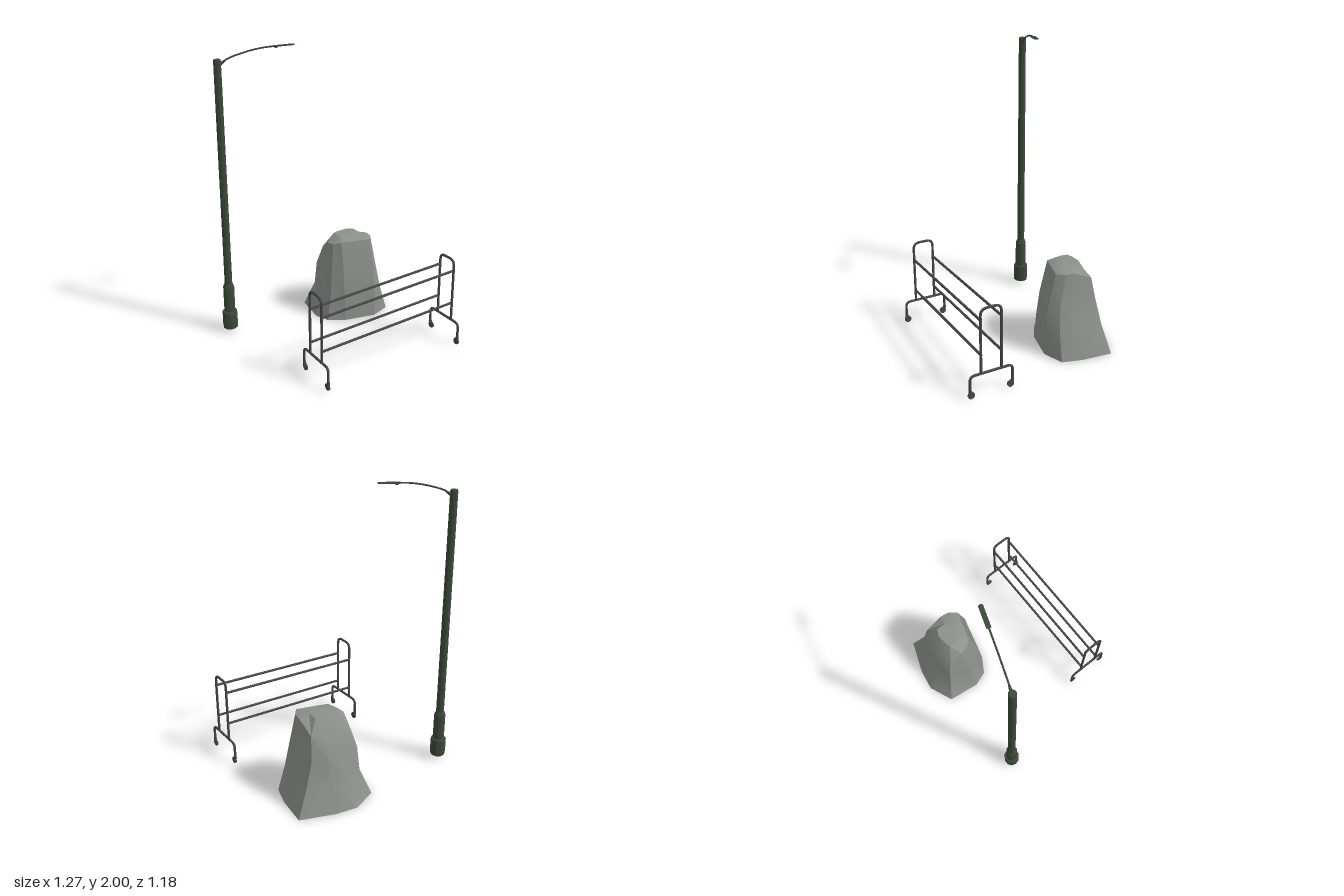
import * as THREE from 'three';
import { toCreasedNormals } from 'three/addons/utils/BufferGeometryUtils.js';

const green = new THREE.MeshStandardMaterial({ color: 0x3c4a3a, flatShading: true });
const steel = new THREE.MeshStandardMaterial({ color: 0x48484a });
const stone = new THREE.MeshStandardMaterial({ color: 0x8c918b, side: THREE.DoubleSide });
const v = (x, y, z) => new THREE.Vector3(x, y, z);

function add(parent, name, geometry, material, x = 0, y = 0, z = 0) {
  const mesh = new THREE.Mesh(geometry, material);
  mesh.name = name;
  mesh.position.set(x, y, z);
  parent.add(mesh);
  return mesh;
}

// Straight round bar between two points
function bar(parent, name, a, b, radius) {
  const d = b.clone().sub(a);
  const mesh = add(parent, name, new THREE.CylinderGeometry(radius, radius, d.length(), 10), steel);
  mesh.position.copy(a).addScaledVector(d, 0.5);
  mesh.quaternion.setFromUnitVectors(v(0, 1, 0), d.normalize());
}

// Upside-down U path in the yz plane with rounded corners
function hoop(z0, z1, yLow, yTop, r) {
  const path = new THREE.CurvePath();
  const p = [v(0, yLow, z0), v(0, yTop - r, z0), v(0, yTop, z0 + r),
    v(0, yTop, z1 - r), v(0, yTop - r, z1), v(0, yLow, z1)];
  path.add(new THREE.LineCurve3(p[0], p[1]));
  path.add(new THREE.QuadraticBezierCurve3(p[1], v(0, yTop, z0), p[2]));
  path.add(new THREE.LineCurve3(p[2], p[3]));
  path.add(new THREE.QuadraticBezierCurve3(p[3], v(0, yTop, z1), p[4]));
  path.add(new THREE.LineCurve3(p[4], p[5]));
  return new THREE.TubeGeometry(path, 90, 0.0085, 10);
}

function makeLamp() {
  const lamp = new THREE.Group();
  lamp.name = 'streetLamp';
  lamp.position.set(-0.585, 0, -0.45);
  lamp.rotation.y = -0.325;

  // Stepped base and shaft
  const profile = [[0, 0.027], [0.05, 0.027], [0.053, 0.05], [0.053, 0.145], [0.05, 0.153], [0.039, 0.155],
    [0.039, 0.34], [0.027, 0.37], [0.025, 1.91], [0.022, 1.92], [0, 1.92]];
  add(lamp, 'post', new THREE.LatheGeometry(profile.map(p => new THREE.Vector2(...p)), 10), green);

  // Curved arm, thicker at the post
  const curve = new THREE.CatmullRomCurve3([v(0.015, 1.885, 0), v(0.06, 1.918, 0), v(0.18, 1.959, 0),
    v(0.28, 1.98, 0), v(0.37, 1.989, 0)]);
  add(lamp, 'arm', new THREE.TubeGeometry(curve, 20, 0.0055, 8), green);
  const socket = add(lamp, 'armSocket', new THREE.CylinderGeometry(0.006, 0.011, 0.05, 8), green, 0.035, 1.9, 0);
  socket.rotation.z = -0.95;

  // Flat lamp head with a rounded tip
  const s = new THREE.Shape();
  s.moveTo(0, -0.014);
  s.lineTo(0.128, -0.014);
  s.quadraticCurveTo(0.138, -0.014, 0.138, 0);
  s.quadraticCurveTo(0.138, 0.014, 0.128, 0.014);
  s.lineTo(0, 0.014);
  s.closePath();
  const headGeo = new THREE.ExtrudeGeometry(s, { depth: 0.007, bevelEnabled: false, curveSegments: 4 });
  headGeo.rotateX(-Math.PI / 2);
  const head = add(lamp, 'lampHead', headGeo, green, 0.357, 1.984, 0);
  head.rotation.z = 0.06;
  add(lamp, 'headClamp', new THREE.BoxGeometry(0.02, 0.01, 0.014), green, 0.376, 1.983, 0);
  return lamp;
}

function makeRack() {
  const rack = new THREE.Group();
  rack.name = 'rollingRack';
  const xs = [-0.407, 0.627];
  for (const x of xs) {
    const end = new THREE.Group();
    end.name = 'rackEnd';
    end.position.x = x;
    rack.add(end);
    add(end, 'uprightHoop', hoop(0.36, 0.5, 0.17, 0.61, 0.045), steel);
    add(end, 'footHoop', hoop(0.283, 0.575, 0.06, 0.168, 0.035), steel);
    // Casters
    for (const [zLeg, zWheel] of [[0.283, 0.297], [0.575, 0.567]]) {
      add(end, 'casterStem', new THREE.CylinderGeometry(0.010, 0.010, 0.02, 10), steel, 0, 0.06, zLeg);
      for (const side of [-1, 1]) {
        const fork = add(end, 'casterFork', new THREE.BoxGeometry(0.003, 0.035, 0.014), steel,
          side * 0.007, 0.042, (zLeg + zWheel) / 2);
        fork.rotation.x = (zWheel > zLeg ? -1 : 1) * 0.35;
      }
      const wheel = add(end, 'casterWheel', new THREE.CylinderGeometry(0.023, 0.023, 0.011, 18), steel,
        0, 0.033, zWheel);
      wheel.rotation.z = Math.PI / 2;
    }
  }
  // Sloping rails
  for (const z of [0.36, 0.497]) {
    for (const [y0, y1] of [[0.244, 0.294], [0.48, 0.533]]) {
      bar(rack, 'rail', v(xs[0], y0, z), v(xs[1], y1, z), 0.0085);
    }
  }
  return rack;
}

function makeRock() {
  // Outlines as x, z pairs, clockwise from the back left corner
  const base = [0.06, -0.52, 0.23, -0.59, 0.38, -0.565, 0.605, -0.48, 0.58, -0.27,
    0.54, -0.135, 0.4, -0.083, 0.18, -0.13, 0.07, -0.195, 0.032, -0.295];
  const low = [0.12, -0.465, 0.23, -0.51, 0.37, -0.505, 0.525, -0.45, 0.525, -0.27,
    0.49, -0.145, 0.4, -0.088, 0.18, -0.145, 0.105, -0.215, 0.083, -0.3];
  const mid = [0.13, -0.45, 0.23, -0.475, 0.37, -0.482, 0.47, -0.43, 0.475, -0.27,
    0.46, -0.16, 0.4, -0.103, 0.185, -0.165, 0.12, -0.225, 0.1, -0.31];
  const crest = [0.16, -0.41, 0.23, -0.43, 0.36, -0.44, 0.45, -0.4, 0.45, -0.27,
    0.44, -0.21, 0.4, -0.157, 0.195, -0.215, 0.155, -0.26, 0.145, -0.32];
  const ring = (o, height) => Array.from({ length: 10 }, (_, i) =>
    v(o[2 * i], height(o[2 * i], o[2 * i + 1]), o[2 * i + 1]));
  const rings = [ring(base, () => 0), ring(low, () => 0.18), ring(mid, () => 0.35),
    // The crest drops toward the back and the left
    ring(crest, (x, z) => 0.578 - Math.max(0, -z - 0.34) - Math.max(0, 0.2 - x) * 0.5)];
  const top = v(0.3, 0.6, -0.29);
  rings.push(rings[3].map(p => p.clone().lerp(top, 0.45).setY(0.598)));

  const pts = [];
  for (let j = 0; j < 10; j++) {
    const k = (j + 1) % 10;
    for (let i = 0; i < rings.length - 1; i++) {
      const a = rings[i][j], b = rings[i][k], c = rings[i + 1][k], d = rings[i + 1][j];
      pts.push(a, d, c, a, c, b);
    }
    pts.push(top, rings[4][k], rings[4][j]);
    pts.push(v(0.3, 0, -0.32), rings[0][j], rings[0][k]);
  }
  const geometry = new THREE.BufferGeometry().setFromPoints(pts);
  const rock = new THREE.Group();
  rock.name = 'boulder';
  add(rock, 'boulderStone', toCreasedNormals(geometry, 0.45), stone);
  return rock;
}

export function createModel() {
  const model = new THREE.Group();
  model.name = 'streetScene';
  model.add(makeLamp(), makeRack(), makeRock());
  return model;
}
